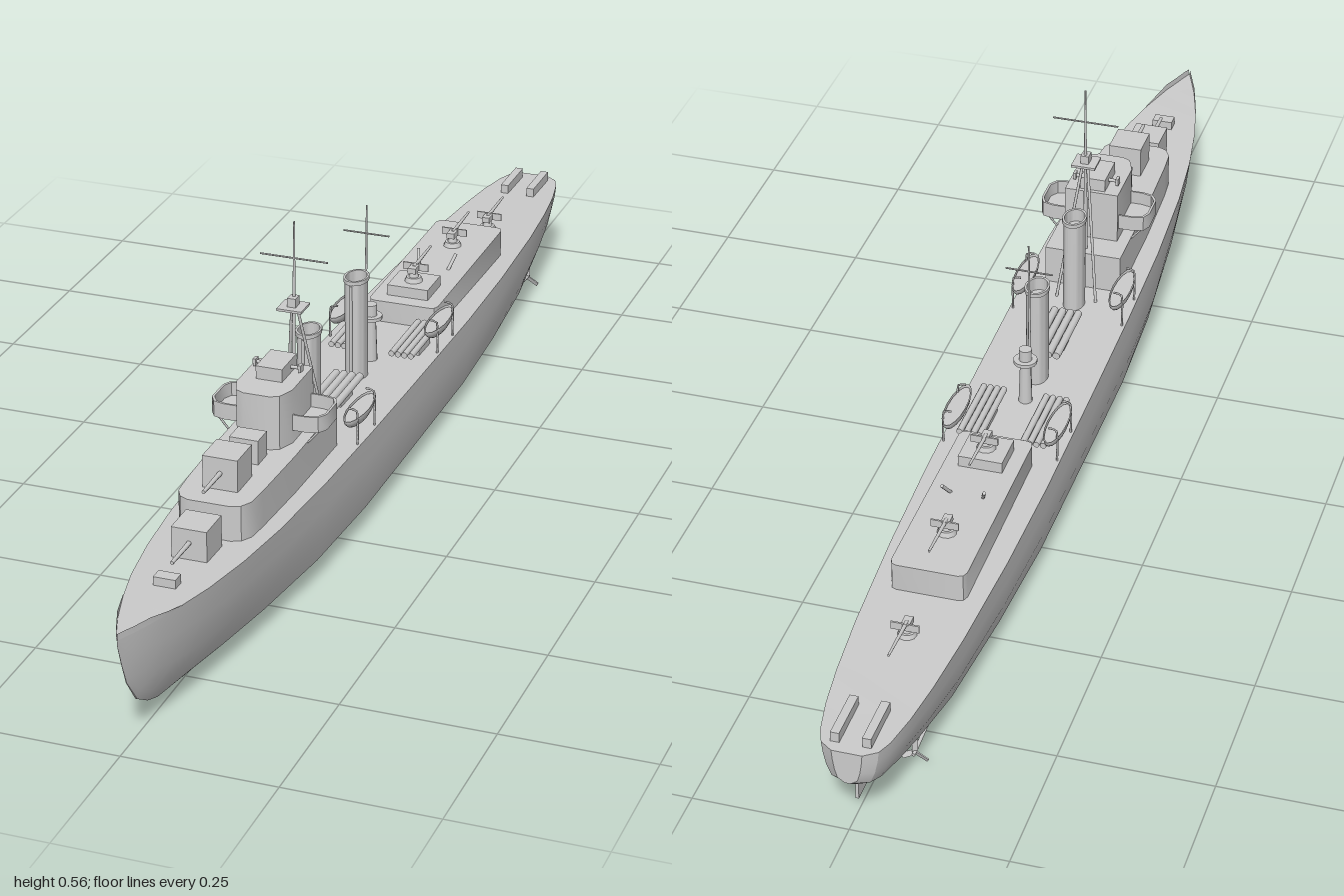
import * as THREE from 'three';
import { toCreasedNormals } from 'three/addons/utils/BufferGeometryUtils.js';

const mat = new THREE.MeshStandardMaterial({ color: 0xcccccc });
const thin = new THREE.MeshStandardMaterial({ color: 0xcccccc, side: THREE.DoubleSide });
const V = (x, y, z) => new THREE.Vector3(x, y, z);

function add(parent, name, geo, x = 0, y = 0, z = 0, m = mat) {
  const mesh = new THREE.Mesh(geo, m);
  mesh.name = name;
  mesh.position.set(x, y, z);
  parent.add(mesh);
  return mesh;
}

function group(parent, name, x = 0, y = 0, z = 0) {
  const g = new THREE.Group();
  g.name = name;
  g.position.set(x, y, z);
  parent.add(g);
  return g;
}

// Box given by its limits, centred on x
const block = (p, name, w, y0, y1, z0, z1, x = 0) =>
  add(p, name, new THREE.BoxGeometry(w, y1 - y0, Math.abs(z1 - z0)), x, (y0 + y1) / 2, (z0 + z1) / 2);

// Round bar between two points
function bar(p, name, a, b, r0, r1 = r0, sides = 8) {
  const d = b.clone().sub(a);
  const m = add(p, name, new THREE.CylinderGeometry(r1, r0, d.length(), sides));
  m.position.copy(a).add(b).multiplyScalar(0.5);
  m.quaternion.setFromUnitVectors(V(0, 1, 0), d.normalize());
  return m;
}

// Upright prism from half a plan outline [x, z], mirrored in x
function planShape(half) {
  const all = [...half, ...half.slice().reverse().map(([x, z]) => [-x, z])];
  return new THREE.Shape(all.map(([x, z]) => new THREE.Vector2(x, -z)));
}
function prism(p, name, shape, y0, y1) {
  const geo = new THREE.ExtrudeGeometry(shape, { depth: y1 - y0, bevelEnabled: false });
  return add(p, name, toCreasedNormals(geo.rotateX(-Math.PI / 2), 0.6), 0, y0, 0);
}

// Hull stations: z, deck half-width, deck y, keel y, fullness
const stations = [
  [1, 0.001, 0.192, 0.185, 0], [0.985, 0.007, 0.192, 0.142, 0], [0.97, 0.013, 0.191, 0.105, 0],
  [0.936, 0.026, 0.191, 0.06, 0.05], [0.9, 0.037, 0.19, 0.038, 0.1], [0.866, 0.047, 0.19, 0.026, 0.17],
  [0.8, 0.063, 0.188, 0.017, 0.3], [0.7, 0.079, 0.185, 0.015, 0.48], [0.58, 0.091, 0.182, 0.015, 0.68],
  [0.4, 0.1, 0.178, 0.015, 0.9], [0.2, 0.103, 0.173, 0.015, 1], [0, 0.103, 0.167, 0.015, 1],
  [-0.3, 0.102, 0.159, 0.015, 1], [-0.5, 0.097, 0.154, 0.015, 0.92], [-0.7, 0.087, 0.15, 0.017, 0.8],
  [-0.82, 0.077, 0.148, 0.035, 0.72], [-0.9, 0.067, 0.147, 0.053, 0.7], [-0.96, 0.055, 0.146, 0.068, 0.7],
  [-0.985, 0.045, 0.146, 0.076, 0.65], [-1, 0.024, 0.146, 0.088, 0.6],
];

function hullGeometry() {
  const pos = [], idx = [], lerp = THREE.MathUtils.lerp;
  for (const [z, w, d, k, f] of stations) {
    const half = [[1, 1], [lerp(0.86, 1, f), 0.72], [lerp(0.6, 0.975, f), 0.4],
      [lerp(0.25, 0.9, f), 0.13], [0.05 + 0.2 * f, 0]];
    const ring = [...half, ...half.slice().reverse().map(([x, y]) => [-x, y])];
    for (const [x, y] of ring) pos.push(x * w, k + (d - k) * y, z);
  }
  const n = 10, last = (stations.length - 1) * n;
  for (let i = 0; i < stations.length - 1; i++) {
    for (let j = 0; j < n; j++) {
      const a = i * n + j, b = i * n + (j + 1) % n;
      idx.push(a, b, a + n, b, b + n, a + n);
    }
  }
  for (let j = 1; j < n - 1; j++) idx.push(last, last + j, last + j + 1);
  const g = new THREE.BufferGeometry();
  g.setAttribute('position', new THREE.Float32BufferAttribute(pos, 3));
  g.setIndex(idx);
  return toCreasedNormals(g, 0.45);
}

// Thin raised plating along both sides of the bow
function bulwarkGeometry(s) {
  const pos = [], idx = [];
  stations.slice(0, 6).forEach(([z, w, d], i) => {
    pos.push(s * w, d, z, s * w * 1.02, d + 0.011 * Math.min(1, (5 - i) / 2), z);
    if (i) idx.push(2 * i - 2, 2 * i - 1, 2 * i, 2 * i - 1, 2 * i + 1, 2 * i);
  });
  const g = new THREE.BufferGeometry();
  g.setAttribute('position', new THREE.Float32BufferAttribute(pos, 3));
  g.setIndex(idx);
  g.computeVertexNormals();
  return g;
}

function mainGun(p, y0, y1, z, barrelY) {
  const g = group(p, 'mainGun');
  block(g, 'gunShield', 0.058, y0, y1, z - 0.03, z + 0.03);
  bar(g, 'gunBarrel', V(0, barrelY, z + 0.03), V(0, barrelY, z + 0.097), 0.004, 0.003);
}

// Light gun pointing aft
function lightGun(p, y, z) {
  const g = group(p, 'lightGun', 0, y, z);
  add(g, 'gunBase', new THREE.CylinderGeometry(0.013, 0.016, 0.008, 12), 0, 0.004, 0);
  add(g, 'gunPedestal', new THREE.CylinderGeometry(0.006, 0.009, 0.012, 10), 0, 0.013, 0);
  add(g, 'gunMount', new THREE.BoxGeometry(0.014, 0.01, 0.024), 0, 0.022, 0);
  add(g, 'gunShield', new THREE.BoxGeometry(0.046, 0.013, 0.003), 0, 0.022, -0.01);
  bar(g, 'gunBarrel', V(0, 0.025, 0), V(0, 0.028, -0.09), 0.0035, 0.002);
}

function funnel(p, z) {
  const g = group(p, 'funnel', 0, 0, z);
  const casing = [[0.0185, 0.16], [0.0185, 0.34], [0.0205, 0.341], [0.0205, 0.348], [0.017, 0.348], [0.017, 0.325], [0, 0.325]];
  const geo = new THREE.LatheGeometry(casing.map(([x, y]) => new THREE.Vector2(x, y)), 24);
  add(g, 'funnelCasing', toCreasedNormals(geo.scale(1, 1, 1.38), 0.6));
  bar(g, 'steamPipe', V(0, 0.16, 0.027), V(0, 0.34, 0.027), 0.0025);
}

// Boat hanging from a pair of davits
function boat(p, s, y, z, deck) {
  const g = group(p, 'ship boat', s * 0.086, y, z);
  const geo = new THREE.SphereGeometry(1, 16, 8, 0, Math.PI * 2, Math.PI / 2, Math.PI / 2);
  add(g, 'boatHull', geo.scale(0.017, 0.025, 0.062), 0, 0, 0, thin);
  add(g, 'boatCover', new THREE.CircleGeometry(1, 16).rotateX(-Math.PI / 2).scale(0.015, 1, 0.058), 0, -0.003, 0);
  for (const dz of [-0.04, 0.04]) {
    const path = new THREE.CatmullRomCurve3([V(s * 0.011, deck - y, dz), V(s * 0.011, 0, dz),
      V(s * 0.009, 0.012, dz), V(-s * 0.004, 0.014, dz)]);
    add(g, 'davit', new THREE.TubeGeometry(path, 10, 0.0018, 6));
  }
}

// Bank of tubes lying fore and aft
function tubeBank(p, x, y, z, width, length) {
  const g = group(p, 'torpedoTubes', x, y, z);
  add(g, 'tubeCradle', new THREE.BoxGeometry(width * 0.8, 0.014, length * 0.4), 0, 0.007, 0);
  for (let i = 0; i < 4; i++) {
    const tx = (i - 1.5) * width / 4;
    bar(g, 'tube', V(tx, 0.02, -length / 2), V(tx, 0.02, length / 2), width / 8.5, width / 8.5, 10);
  }
}

function propeller(p, s) {
  const g = group(p, 'propeller', s * 0.045, 0.014, -0.82);
  bar(g, 'shaft', V(0, 0.012, 0.14), V(0, 0, -0.008), 0.003);
  for (let i = 0; i < 3; i++) {
    const blade = add(g, 'propellerBlade', new THREE.BoxGeometry(0.009, 0.023, 0.002).translate(0, 0.0125, 0));
    blade.rotation.set(0, 0, i * Math.PI * 2 / 3);
    blade.geometry.rotateY(0.4);
  }
}

export function createModel() {
  const ship = new THREE.Group();
  ship.name = 'warship';
  add(ship, 'hull', hullGeometry());
  for (const s of [-1, 1]) add(ship, 'bowBulwark', bulwarkGeometry(s), 0, 0, 0, thin);
  block(ship, 'windlass', 0.036, 0.18, 0.203, 0.8, 0.822);

  // Forward deckhouse, guns and bridge
  prism(ship, 'forwardDeckhouse', planShape([[0.035, 0.645], [0.05, 0.638], [0.06, 0.62], [0.063, 0.58], [0.067, 0.45], [0.067, 0.265]]), 0.165, 0.243);
  mainGun(ship, 0.18, 0.237, 0.695, 0.214);
  mainGun(ship, 0.24, 0.297, 0.568, 0.271);
  block(ship, 'readyLocker', 0.048, 0.24, 0.284, 0.462, 0.5);
  prism(ship, 'bridge', planShape([[0.022, 0.445], [0.036, 0.438], [0.047, 0.41], [0.047, 0.318]]), 0.24, 0.335);
  const wing = [[0.07, 0.41], [0.088, 0.405], [0.097, 0.39], [0.097, 0.345], [0.09, 0.33], [0.07, 0.325]];
  prism(ship, 'bridgeWingFloor', planShape(wing), 0.265, 0.269);
  const wall = planShape(wing);
  wall.holes.push(planShape(wing.map(([x, z]) => [x * 0.96, 0.3675 + (z - 0.3675) * 0.92])));
  prism(ship, 'bridgeWingWall', wall, 0.265, 0.292);
  for (const s of [-1, 1]) for (const z of [0.34, 0.395])
    bar(ship, 'wingStrut', V(s * 0.066, 0.24, z), V(s * 0.088, 0.266, z), 0.0018, 0.0018, 6);
  block(ship, 'director', 0.044, 0.335, 0.357, 0.325, 0.39);
  bar(ship, 'rangefinder', V(-0.04, 0.345, 0.35), V(0.04, 0.345, 0.35), 0.003);
  for (const s of [-1, 1]) block(ship, 'rangefinderEnd', 0.005, 0.339, 0.351, 0.344, 0.356, s * 0.038);

  // Foremast on three legs
  const mast = group(ship, 'foremast');
  bar(mast, 'pole', V(0, 0.24, 0.283), V(0, 0.56, 0.275), 0.004, 0.0015);
  for (const s of [-1, 1]) bar(mast, 'mastLeg', V(s * 0.035, 0.172, 0.225), V(s * 0.003, 0.425, 0.279), 0.0025);
  block(mast, 'lookoutFloor', 0.042, 0.414, 0.418, 0.262, 0.302);
  block(mast, 'lookout', 0.014, 0.418, 0.433, 0.272, 0.29);
  bar(mast, 'yard', V(-0.057, 0.498, 0.277), V(0.057, 0.498, 0.277), 0.0015);

  // Mainmast and searchlight tower
  const aftMast = group(ship, 'mainmast');
  bar(aftMast, 'pole', V(0, 0.16, -0.052), V(0, 0.455, -0.06), 0.003, 0.0015);
  bar(aftMast, 'yard', V(-0.04, 0.405, -0.058), V(0.04, 0.405, -0.058), 0.0015);
  const tower = group(ship, 'searchlightTower', 0, 0, -0.08);
  add(tower, 'towerColumn', new THREE.CylinderGeometry(0.009, 0.012, 0.085, 12), 0, 0.2, 0);
  add(tower, 'towerPlatform', new THREE.CylinderGeometry(0.02, 0.02, 0.006, 16), 0, 0.244, 0);
  add(tower, 'searchlight', new THREE.CylinderGeometry(0.011, 0.011, 0.02, 12), 0, 0.257, 0);

  // Funnels, boats and torpedo tubes
  funnel(ship, 0.213);
  funnel(ship, -0.01);
  tubeBank(ship, 0, 0.165, 0.098, 0.056, 0.136);
  for (const s of [-1, 1]) {
    boat(ship, s, 0.222, 0.21, 0.172);
    boat(ship, s, 0.208, -0.185, 0.16);
    tubeBank(ship, s * 0.054, 0.16, -0.15, 0.046, 0.138);
  }

  // After deckhouse and light guns
  prism(ship, 'afterDeckhouse', planShape([[0.05, -0.238], [0.058, -0.241], [0.062, -0.25], [0.062, -0.6], [0.058, -0.61], [0.05, -0.613]]), 0.14, 0.199);
  block(ship, 'gunPlatform', 0.074, 0.198, 0.218, -0.335, -0.267);
  lightGun(ship, 0.218, -0.3);
  lightGun(ship, 0.199, -0.51);
  lightGun(ship, 0.149, -0.712);
  for (const s of [-1, 1]) {
    bar(ship, 'chargeThrower', V(s * 0.027, 0.198, -0.405), V(s * 0.035, 0.222, -0.425), 0.003);
    block(ship, 'sternRack', 0.014, 0.14, 0.163, -0.98, -0.89, s * 0.025);
    propeller(ship, s);
  }

  // Rudder below the stern
  block(ship, 'rudder', 0.005, 0.026, 0.08, -0.96, -0.907);
  return ship;
}
